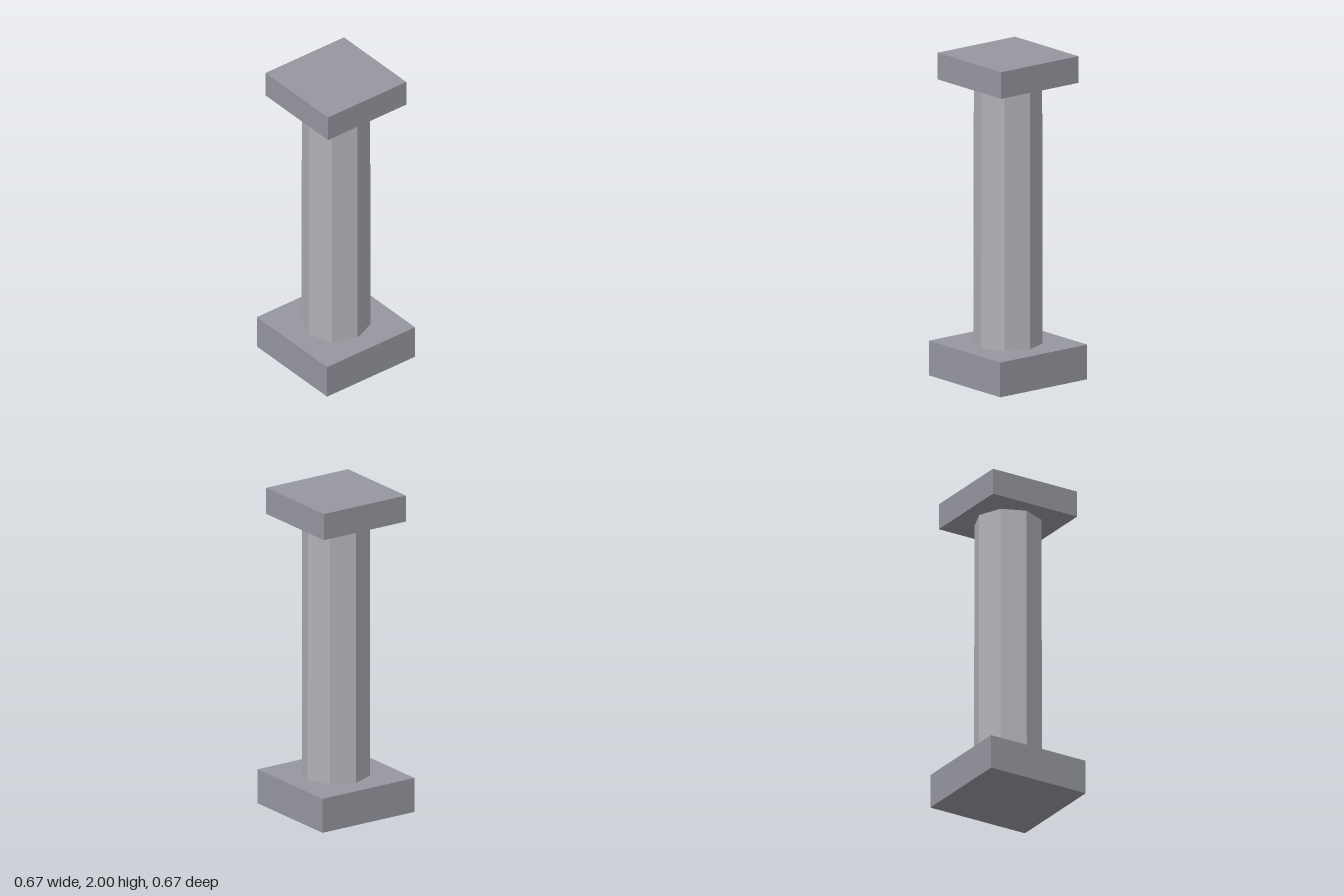
import * as THREE from 'three';

const slabMaterial = new THREE.MeshStandardMaterial({ color: 0x95969f, flatShading: true });
const shaftMaterial = new THREE.MeshStandardMaterial({ color: 0xb0b1b6, flatShading: true });

// Adds a named mesh spanning the heights y0 to y1
function addPart(group, name, geometry, material, y0, y1) {
  const mesh = new THREE.Mesh(geometry, material);
  mesh.name = name;
  mesh.position.y = (y0 + y1) / 2;
  group.add(mesh);
}

// Square slab of the given width
function addSlab(group, name, width, y0, y1) {
  addPart(group, name, new THREE.BoxGeometry(width, y1 - y0, width), slabMaterial, y0, y1);
}

export function createModel() {
  const group = new THREE.Group();
  group.name = 'column';
  const baseTop = 0.215, capitalBottom = 1.835;

  addSlab(group, 'base', 0.674, 0, baseTop);

  // Eight-sided shaft with one edge facing the front
  const shaft = new THREE.CylinderGeometry(0.206, 0.208, capitalBottom - baseTop, 8, 1, true);
  addPart(group, 'shaft', shaft, shaftMaterial, baseTop, capitalBottom);

  addSlab(group, 'capital', 0.6, capitalBottom, 2);
  return group;
}
